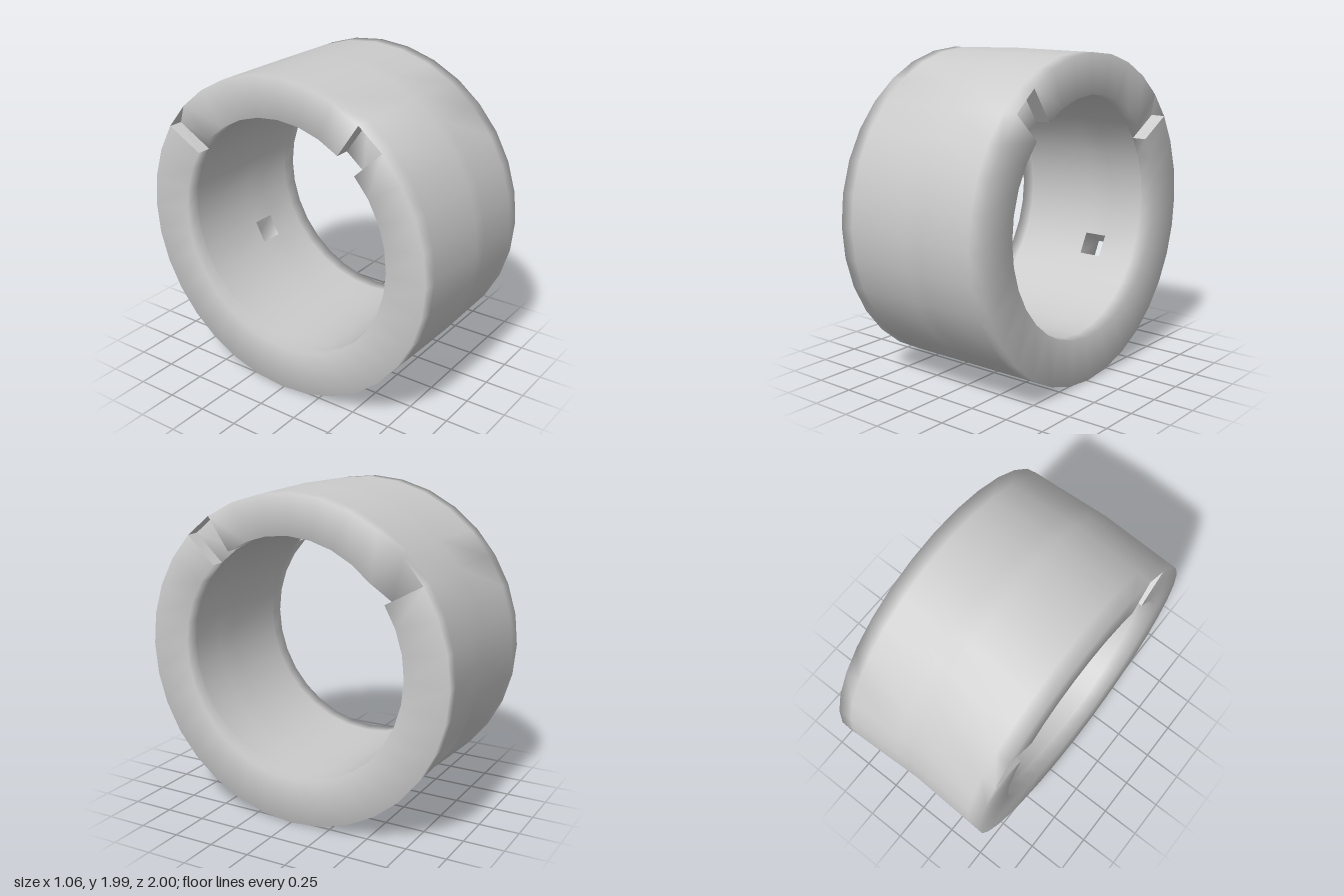
import * as THREE from 'three';
import { mergeVertices } from 'three/addons/utils/BufferGeometryUtils.js';

const SIDES = 32;
const OUTER_R = 0.99, BORE_R = 0.73;
// column boundaries across the band, on the outside and in the bore
const OUTER_X = [-0.53, -0.44, 0, 0.1, 0.44, 0.53];
const BORE_X = [-0.53, -0.44, 0.05, 0.2, 0.44, 0.53];
const COLS = OUTER_X.length - 1;
const RAMP = 3, SLOT = 11, HOLE = 29, HOLE_COL = 2; // segments counted from the back, going up

const isRim = c => c === 0 || c === COLS - 1;
const isSlot = (c, i) => i === SLOT && isRim(c);
const isHole = (c, i) => i === HOLE && c === HOLE_COL;
const isSolid = (c, i) => c >= 0 && c < COLS && !isSlot(c, i) && !isHole(c, i);

// corner of the band at column boundary c and angle step i
function corner(c, i, outside) {
  const x = (outside ? OUTER_X : BORE_X)[c];
  const a = ((i % SIDES) / SIDES) * Math.PI * 2;
  const r = outside ? OUTER_R : BORE_R;
  const k = Math.abs(x) / 0.53;
  const cy = outside ? 1.0 - 0.01 * k : 1.01; // middle of the band is slightly offset
  const cz = outside ? 0.01 - 0.02 * k : 0;
  return [x, cy + r * Math.sin(a), cz - r * Math.cos(a)];
}

function buildMesh(name, positions, smooth, material) {
  let geometry = new THREE.BufferGeometry();
  geometry.setAttribute('position', new THREE.Float32BufferAttribute(positions, 3));
  if (smooth) geometry = mergeVertices(geometry, 1e-4);
  geometry.computeVertexNormals();
  const mesh = new THREE.Mesh(geometry, material);
  mesh.name = name;
  return mesh;
}

export function createModel() {
  const shell = [], bore = [], walls = [];
  const quad = (list, p, q, r, s) => list.push(...p, ...q, ...r, ...p, ...r, ...s);

  for (let i = 0; i < SIDES; i++) {
    for (let c = 0; c < COLS; c++) {
      const O = (dc, di) => corner(c + dc, i + di, true);
      // the foot of the ramp starts at the depth of the slots
      const foot = (n, di) => (i === RAMP && di === 0 ? Math.min(Math.max(n, 1), COLS - 1) : n);
      const RO = (dc, di) => corner(foot(c + dc, di), i + di, true);
      const I = (dc, di) => corner(foot(c + dc, di), i + di, false);

      // outer skin, which also covers the slots
      if (!isHole(c, i)) quad(shell, O(0, 0), O(0, 1), O(1, 1), O(1, 0));
      if (!isSolid(c, i)) continue;

      // bore, with its rims rounded into the end faces
      quad(isRim(c) ? shell : bore, I(0, 0), I(1, 0), I(1, 1), I(0, 1));

      // end faces, slot floors and sides of the hole
      if (!isSolid(c + 1, i)) quad(shell, I(1, 0), RO(1, 0), RO(1, 1), I(1, 1));
      if (!isSolid(c - 1, i)) quad(shell, I(0, 1), RO(0, 1), RO(0, 0), I(0, 0));

      // walls across the band: slots, hole and the step below each ramp
      const wallList = c === HOLE_COL ? shell : walls;
      if (!isSolid(c, i + 1) || (i + 1 === RAMP && isRim(c)))
        quad(wallList, I(0, 1), I(1, 1), O(1, 1), O(0, 1));
      if (!isSolid(c, i - 1))
        quad(wallList, O(0, 0), O(1, 0), I(1, 0), I(0, 0));
    }
  }

  const material = new THREE.MeshStandardMaterial({ color: 0xcccccc, side: THREE.DoubleSide });
  const group = new THREE.Group();
  group.name = 'ring';
  group.add(
    buildMesh('outerBand', shell, true, material),
    buildMesh('bore', bore, true, material),
    buildMesh('slotWalls', walls, false, material)
  );
  return group;
}
